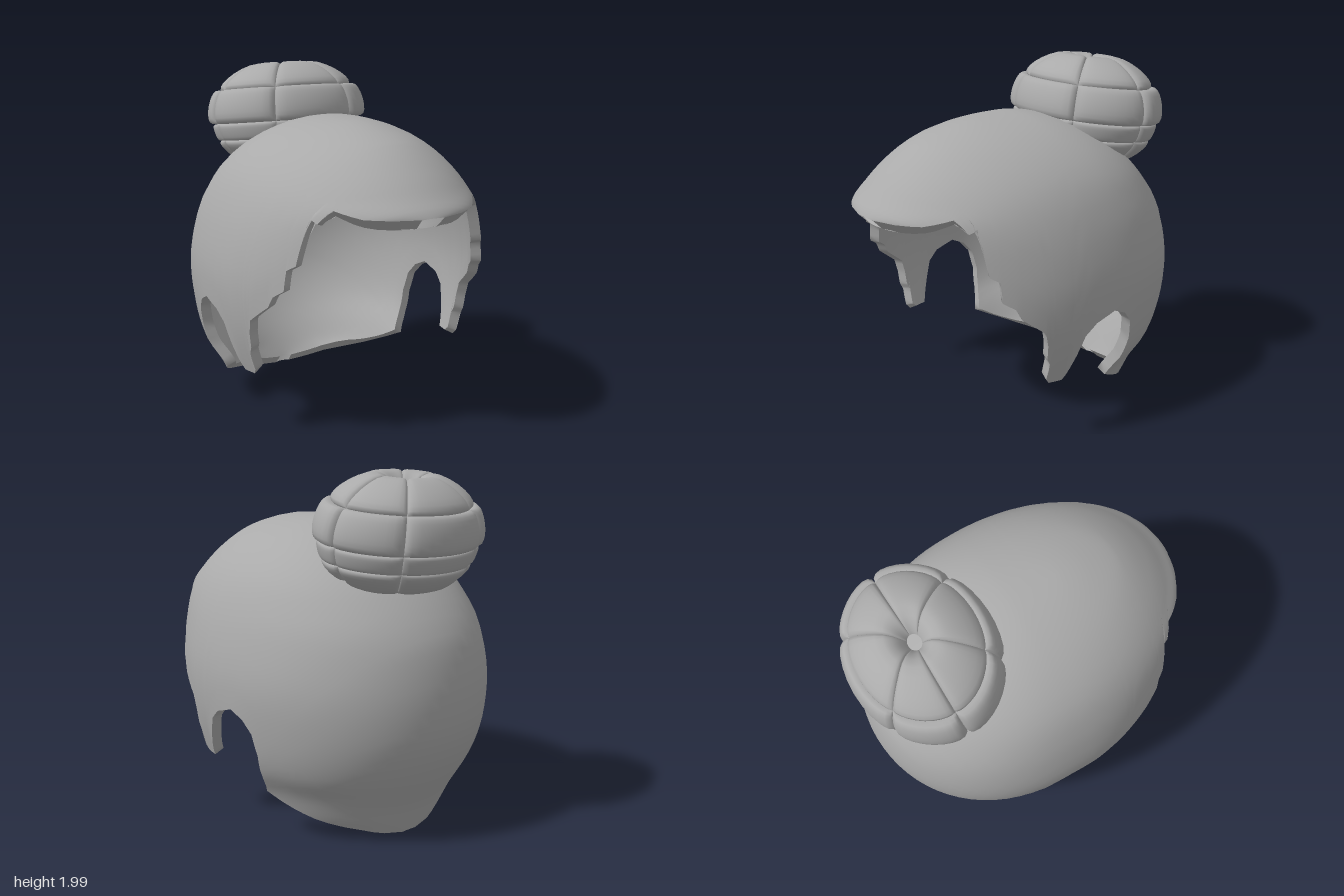
import * as THREE from 'three';

const hairGray = new THREE.MeshStandardMaterial({ color: 0xaaaaaa, side: THREE.DoubleSide });
hairGray.name = 'hairGray';

// Smooth interpolation through [y, value] knots
function sample(k, y) {
  const n = k.length - 1;
  if (y <= k[0][0]) return k[0][1];
  if (y >= k[n][0]) return k[n][1];
  let i = 0;
  while (y > k[i + 1][0]) i++;
  const slope = (a, b) => (k[b][1] - k[a][1]) / (k[b][0] - k[a][0]);
  const h = k[i + 1][0] - k[i][0], t = (y - k[i][0]) / h;
  const m0 = slope(Math.max(i - 1, 0), i + 1), m1 = slope(i, Math.min(i + 2, n));
  const t2 = t * t, t3 = t2 * t;
  return (2 * t3 - 3 * t2 + 1) * k[i][1] + (t3 - 2 * t2 + t) * h * m0
    + (3 * t2 - 2 * t3) * k[i + 1][1] + (t3 - t2) * h * m1;
}

// Squared half-width, front reach and back reach of the head of hair by height
const WIDTH = [[-0.1, 0.15], [0.06, 0.27], [0.12, 0.33], [0.27, 0.41], [0.4, 0.52], [0.6, 0.59],
  [0.88, 0.62], [1.17, 0.535], [1.32, 0.45], [1.4, 0.395], [1.5, 0.295], [1.6, 0.17],
  [1.665, 0.08], [1.72, 0]];
const FRONT = [[-0.1, 0.7], [0.4, 0.85], [0.9, 0.97], [1.29, 0.96], [1.38, 0.81], [1.49, 0.62],
  [1.61, 0.385], [1.67, 0.21], [1.71, 0.07], [1.72, 0]];
const BACK = [[-0.1, 0.4], [0.01, 0.48], [0.19, 0.59], [0.35, 0.74], [0.5, 0.865], [0.65, 0.94],
  [0.85, 0.955], [1.05, 0.895], [1.18, 0.81], [1.345, 0.61], [1.45, 0.46], [1.55, 0.3],
  [1.65, 0.12], [1.72, 0]];

// Squared x of the hair surface at a point of the side profile
function widthSquared(z, y) {
  const u2 = z * z / Math.max(1e-4, sample(z > 0 ? FRONT : BACK, y));
  return sample(WIDTH, y) * (1 - (z > 0 ? u2 : Math.pow(u2, 1.2)));
}

// Outward direction of the hair surface
function outward([x, y, z]) {
  const e = 0.008;
  return new THREE.Vector3(2 * x,
    (widthSquared(z, y - e) - widthSquared(z, y + e)) / (2 * e),
    (widthSquared(z - e, y) - widthSquared(z + e, y)) / (2 * e)).normalize();
}

// Point on the centre line, found along a ray from inside the head
function centreLine(deg) {
  const a = deg * Math.PI / 180;
  let lo = 0, hi = 1.5;
  for (let i = 0; i < 40; i++) {
    const r = (lo + hi) / 2;
    if (widthSquared(r * Math.cos(a), 0.8 + r * Math.sin(a)) > 0) lo = r; else hi = r;
  }
  return [lo * Math.cos(a), 0.8 + lo * Math.sin(a)];
}

// Hairline from fringe tip to nape: z, y, angle of the matching centre-line point
const HAIRLINE = [
  [0.975, 1.288, 26.6], [0.85, 1.295, 31], [0.72, 1.33, 37], [0.68, 1.26, 41], [0.64, 1.28, 45],
  [0.63, 1.15, 49], [0.62, 1.04, 53], [0.575, 1.01, 55], [0.57, 0.9, 58], [0.51, 0.86, 60],
  [0.48, 0.8, 62], [0.35, 0.7, 65], [0.33, 0.62, 67], [0.325, 0.54, 69], [0.305, 0.5, 70.5],
  [0.305, 0.4, 72.5], [0.28, 0.37, 75], [0.2, 0.37, 78], [0.17, 0.45, 81], [0.1, 0.63, 86],
  [0.03, 0.69, 95], [-0.1, 0.73, 108], [-0.19, 0.69, 124], [-0.25, 0.62, 140], [-0.27, 0.5, 158],
  [-0.25, 0.37, 172], [-0.2, 0.25, 185], [-0.3, 0.2, 195], [-0.45, 0.13, 206], [-0.62, 0.06, 219],
  [-0.69, 0.01, 228.5]];

// Grid surface from rows of points
function gridGeometry(rows) {
  const cols = rows[0].length, index = [];
  for (let i = 0; i < rows.length - 1; i++) {
    for (let j = 0; j < cols - 1; j++) {
      const a = i * cols + j, c = a + cols;
      index.push(a, a + 1, c, a + 1, c + 1, c);
    }
  }
  const g = new THREE.BufferGeometry();
  g.setAttribute('position', new THREE.Float32BufferAttribute(rows.flat(2), 3));
  g.setIndex(index);
  g.computeVertexNormals();
  return g;
}

function addMesh(parent, name, geometry) {
  const mesh = new THREE.Mesh(geometry, hairGray);
  mesh.name = name;
  parent.add(mesh);
}

// Hollow cap of hair: outer skin, inner skin and the rim between them
function makeCap() {
  const cap = new THREE.Group();
  cap.name = 'hairCap';
  const N = 16, SUB = 3, THICK = 0.06, outer = [];
  const total = (HAIRLINE.length - 1) * SUB;
  for (let r = 0; r <= total; r++) {
    const k = Math.min(Math.floor(r / SUB), HAIRLINE.length - 2), f = r / SUB - k;
    const [ez, ey, deg] = HAIRLINE[k].map((v, q) => v + (HAIRLINE[k + 1][q] - v) * f);
    const [mz, my] = centreLine(deg);
    const row = [];
    for (let j = -N; j <= N; j++) {
      const t = (j / N) ** 2;
      const z = mz + (ez - mz) * t, y = my + (ey - my) * t;
      const x = j === 0 ? 0 : Math.sqrt(Math.max(0, widthSquared(z, y)));
      row.push([Math.sign(j) * x, y, z]);
    }
    outer.push(row);
  }
  // the inner skin hangs a little lower under the fringe and higher at the nape
  const inner = outer.map(row => row.map(p => {
    const n = outward(p);
    const fringe = THREE.MathUtils.smoothstep(p[2], 0.68, 0.95);
    const nape = 1 - THREE.MathUtils.smoothstep(p[1], 0, 0.2);
    return [p[0] - n.x * THICK, p[1] - n.y * THICK - 0.045 * fringe + 0.03 * nape,
      p[2] - n.z * THICK];
  }));
  addMesh(cap, 'outerHair', gridGeometry(outer));
  addMesh(cap, 'innerHair', gridGeometry(inner.map(row => [...row].reverse())));
  for (const [name, j] of [['rightRim', 0], ['leftRim', 2 * N]]) {
    const strip = outer.map((row, i) => [inner[i][j], row[j]]);
    addMesh(cap, name, gridGeometry(j ? strip.map(s => s.reverse()) : strip));
  }
  return cap;
}

// Bun of puffed locks arranged in rings around a small hollow
function makeBun() {
  const bun = new THREE.Group();
  bun.name = 'bun';
  const rings = [0.1, 1.08, 1.65, 1.95, 2.45, Math.PI];
  const fullness = [1.0, 1.03, 0.98, 0.99, 0.95];
  const sectors = [-32, 32, 92, 146, 214, 268, 328];
  const S = 12, seam = 0.93;
  for (let r = 0; r < fullness.length; r++) {
    for (let s = 0; s < 6; s++) {
      const rows = [];
      for (let i = 0; i <= S; i++) {
        const b = Math.sin((i / S - 0.5) * Math.PI), row = [];
        const phi = rings[r] + (rings[r + 1] - rings[r]) * (b + 1) / 2;
        const rho = Math.sin(phi), c = Math.cos(phi);
        const dimple = phi < 1.08 ? 0.13 * Math.exp(-((rho / 0.2) ** 2)) : 0;
        for (let j = 0; j <= S; j++) {
          const a = Math.sin((j / S - 0.5) * Math.PI);
          const az = (sectors[s] + (sectors[s + 1] - sectors[s]) * (a + 1) / 2) * Math.PI / 180;
          const puff = Math.sqrt(Math.max(0, (1 - a ** 8) * (1 - b ** 8)));
          const k = seam + (fullness[r] - seam) * puff;
          row.push([0.49 * k * rho * Math.sin(az),
            0.345 * k * Math.sign(c) * Math.abs(c) ** 0.9 - dimple,
            0.395 * k * rho * Math.cos(az)]);
        }
        rows.push(row);
      }
      addMesh(bun, 'bunLock', gridGeometry(rows.map(row => row.reverse()).reverse().map(row => row.reverse())));
    }
  }
  bun.position.set(0, 1.665, -0.575);
  bun.rotation.x = -0.12;
  return bun;
}

export function createModel() {
  const model = new THREE.Group();
  model.name = 'hairWithBun';
  model.add(makeCap(), makeBun());
  return model;
}
